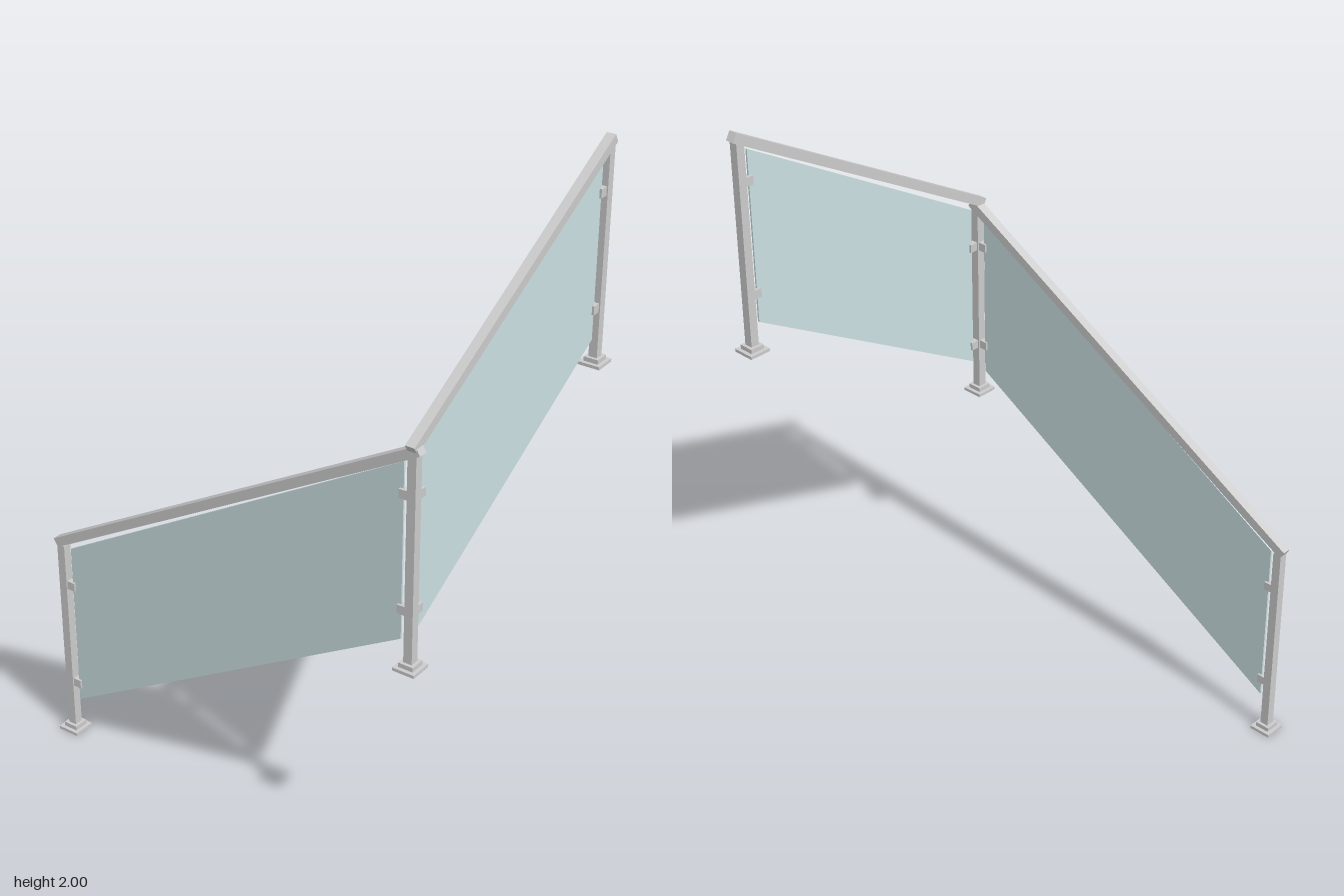
import * as THREE from 'three';

const metal = new THREE.MeshStandardMaterial({ color: 0xcccccc });
const glass = new THREE.MeshStandardMaterial({ color: 0xcce0e2 });

const POST = 0.028;      // post side
const RAIL = 0.03;       // handrail side
const INSET = 0.031;     // panel edge to post centre

// Stair corner: foot positions climbing at 30 degrees, with the two handrail heights
const feet = [
  new THREE.Vector3(-0.636, 0, 0.477),
  new THREE.Vector3(0.636, 0.738, 0.477),
  new THREE.Vector3(0.636, 1.29, -0.477),
];
const runs = [
  { from: feet[0], to: feet[1], railStart: 0.702, railEnd: 0.684 },
  { from: feet[1], to: feet[2], railStart: 0.704, railEnd: 0.687 },
];

function box(name, w, h, d, x, y, z) {
  const mesh = new THREE.Mesh(new THREE.BoxGeometry(w, h, d), metal);
  mesh.name = name;
  mesh.position.set(x, y, z);
  return mesh;
}

function createPost(foot) {
  const post = new THREE.Group();
  post.name = 'post';
  post.position.copy(foot);
  const top = 0.688;
  post.add(
    box('basePlate', 0.072, 0.01, 0.072, 0, 0.005, 0),
    box('baseCollar', 0.048, 0.014, 0.048, 0, 0.017, 0),
    box('postShaft', POST, top, POST, 0, top / 2, 0),
  );
  return post;
}

// One flight, built along local +x and then turned into place
function createFlight({ from, to, railStart, railEnd }) {
  const flight = new THREE.Group();
  flight.name = 'flight';
  const run = Math.hypot(to.x - from.x, to.z - from.z);
  const rise = to.y - from.y;
  flight.position.copy(from);
  flight.rotation.y = Math.atan2(-(to.z - from.z), to.x - from.x);

  // Sloping handrail with square-cut ends
  const railRise = rise + railEnd - railStart;
  const rail = box('handrail', Math.hypot(run, railRise) + 0.042, RAIL, RAIL,
    run / 2, railStart + railRise / 2, 0);
  rail.rotation.z = Math.atan2(railRise, run);
  flight.add(rail);

  // Glass panel: parallelogram with upright ends
  const slope = rise / run;
  const corner = (x, h) => new THREE.Vector2(x, h + x * slope);
  const shape = new THREE.Shape([
    corner(INSET, 0.106), corner(run - INSET, 0.106),
    corner(run - INSET, 0.663), corner(INSET, 0.663),
  ]);
  const thickness = 0.006;
  const geometry = new THREE.ExtrudeGeometry(shape, { depth: thickness, bevelEnabled: false });
  geometry.translate(0, 0, -thickness / 2);
  const panel = new THREE.Mesh(geometry, glass);
  panel.name = 'glassPanel';
  flight.add(panel);

  // Two clips on each post
  for (const [x, y] of [[0.028, 0], [run - 0.028, rise]]) {
    for (const h of [0.186, 0.548]) {
      flight.add(box('glassClip', 0.028, 0.028, 0.02, x, y + h, 0));
    }
  }
  return flight;
}

export function createModel() {
  const model = new THREE.Group();
  model.name = 'cornerStairRailing';
  feet.forEach((foot) => model.add(createPost(foot)));
  runs.forEach((run) => model.add(createFlight(run)));
  return model;
}
